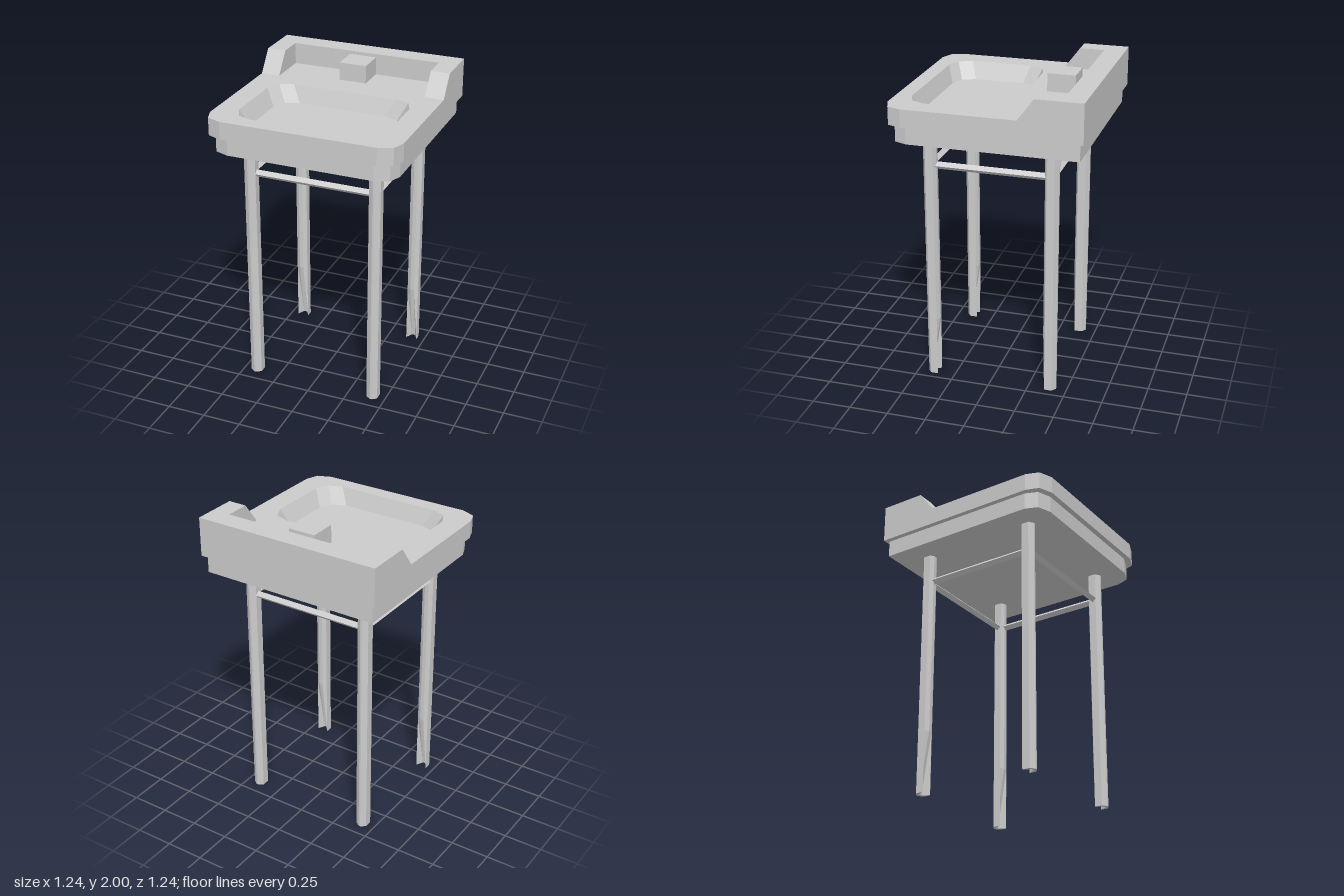
import * as THREE from 'three';
import { mergeGeometries } from 'three/addons/utils/BufferGeometryUtils.js';

const material = new THREE.MeshStandardMaterial({ color: 0xcccccc, flatShading: true });

function addMesh(parent, name, geometry) {
  const mesh = new THREE.Mesh(geometry, material);
  mesh.name = name;
  parent.add(mesh);
  return mesh;
}

// Completes a half outline of [x, z] points (back to front) by mirroring in x
const mirrored = (half) => [...half, ...half.map(([x, z]) => [-x, z]).reverse()];

// Side walls through [outline, y] rings; rising rings face out, falling rings face in
function walls(rings) {
  const pos = [];
  for (let k = 0; k + 1 < rings.length; k++) {
    const [lo, y0] = rings[k], [hi, y1] = rings[k + 1];
    lo.forEach((p, i) => {
      const j = (i + 1) % lo.length;
      const a = [p[0], y0, p[1]], b = [lo[j][0], y0, lo[j][1]];
      const c = [hi[j][0], y1, hi[j][1]], d = [hi[i][0], y1, hi[i][1]];
      pos.push(...a, ...d, ...c, ...a, ...c, ...b);
    });
  }
  const g = new THREE.BufferGeometry();
  g.setAttribute('position', new THREE.Float32BufferAttribute(pos, 3));
  g.computeVertexNormals();
  return g;
}

// Flat horizontal face, looking up (dir 1) or down (dir -1), with an optional hole
function cap(outline, y, dir, hole) {
  const points = (o) => o.map(([x, z]) => new THREE.Vector2(x, -dir * z));
  const shape = new THREE.Shape(points(outline));
  if (hole) shape.holes.push(new THREE.Path(points(hole)));
  const g = new THREE.ShapeGeometry(shape).toNonIndexed();
  g.deleteAttribute('uv');
  return g.rotateX(-dir * Math.PI / 2).translate(0, y, 0);
}

function box(x0, x1, y0, y1, z0, z1) {
  return new THREE.BoxGeometry(x1 - x0, y1 - y0, z1 - z0)
    .translate((x0 + x1) / 2, (y0 + y1) / 2, (z0 + z1) / 2);
}

export function createModel() {
  const model = new THREE.Group();
  model.name = 'washbasin';

  // Basin slab with a sunken bowl
  const slab = mirrored([[0.62, -0.62], [0.62, 0.5], [0.59, 0.585], [0.5, 0.62]]);
  const rim = mirrored([[0.345, -0.12], [0.435, -0.09], [0.475, 0], [0.475, 0.4], [0.435, 0.485], [0.345, 0.52]]);
  const floor = mirrored([[0.29, -0.08], [0.38, -0.05], [0.42, 0.035], [0.42, 0.36], [0.38, 0.445], [0.29, 0.48]]);
  addMesh(model, 'basinSlab', mergeGeometries([
    walls([[slab, 1.748], [slab, 1.862]]),
    cap(slab, 1.862, 1, rim),
    cap(slab, 1.748, -1),
  ]));
  addMesh(model, 'bowl', mergeGeometries([
    walls([[rim, 1.862], [floor, 1.755]]),
    cap(floor, 1.755, 1),
  ]));

  // Narrower apron below the slab
  const apron = mirrored([[0.592, -0.595], [0.592, 0.475], [0.56, 0.555], [0.47, 0.588]]);
  addMesh(model, 'apron', mergeGeometries([
    walls([[apron, 1.635], [apron, 1.745]]),
    cap(apron, 1.745, 1),
    cap(apron, 1.635, -1),
  ]));

  // Splashback with a sloping arm at each end
  addMesh(model, 'splashback', box(-0.62, 0.62, 1.862, 2, -0.62, -0.485));
  const armShape = new THREE.Shape([[0.485, 1.862], [0.485, 2], [0.325, 2], [0.222, 1.862]]
    .map(([x, y]) => new THREE.Vector2(x, y)));
  for (const [name, x] of [['leftArm', 0.497], ['rightArm', -0.62]]) {
    const arm = new THREE.ExtrudeGeometry(armShape, { depth: 0.123, bevelEnabled: false });
    addMesh(model, name, arm.rotateY(Math.PI / 2).translate(x, 0, 0));
  }
  addMesh(model, 'tapBlock', box(-0.09, 0.088, 1.88, 1.995, -0.44, -0.262));

  // Chamfered legs, hollowed into an open channel on the inner side of the foot
  const legX = 0.413, legZ = 0.388, hollowTop = 0.4;
  const legHalf = [[0.0125, -0.044], [0.0375, -0.028], [0.0375, 0.022], [0.006, 0.044]];
  const section = mirrored(legHalf);
  const foot = mirrored([[0.0125, 0.02], ...legHalf.slice(1)]);
  const legGeometry = mergeGeometries([
    walls([[foot, 0], [section, hollowTop], [section, 1.636]]),
    cap(foot, 0, -1),
  ]);
  for (const sx of [1, -1]) for (const sz of [1, -1]) {
    const leg = addMesh(model, (sz > 0 ? 'front' : 'back') + (sx > 0 ? 'LeftLeg' : 'RightLeg'), legGeometry);
    leg.position.set(sx * legX, 0, sz * legZ);
    if (sz < 0) leg.rotation.y = Math.PI;
  }

  // Diamond-section rails joining the legs
  const rail = (length) => new THREE.CylinderGeometry(0.024, 0.024, length, 4);
  for (const s of [1, -1]) {
    addMesh(model, s > 0 ? 'frontRail' : 'backRail', rail(2 * legX - 0.02).rotateZ(Math.PI / 2))
      .position.set(0, 1.453, s * legZ);
    addMesh(model, s > 0 ? 'leftRail' : 'rightRail', rail(2 * legZ - 0.02).rotateX(Math.PI / 2))
      .position.set(s * legX, 1.453, 0);
  }
  return model;
}
